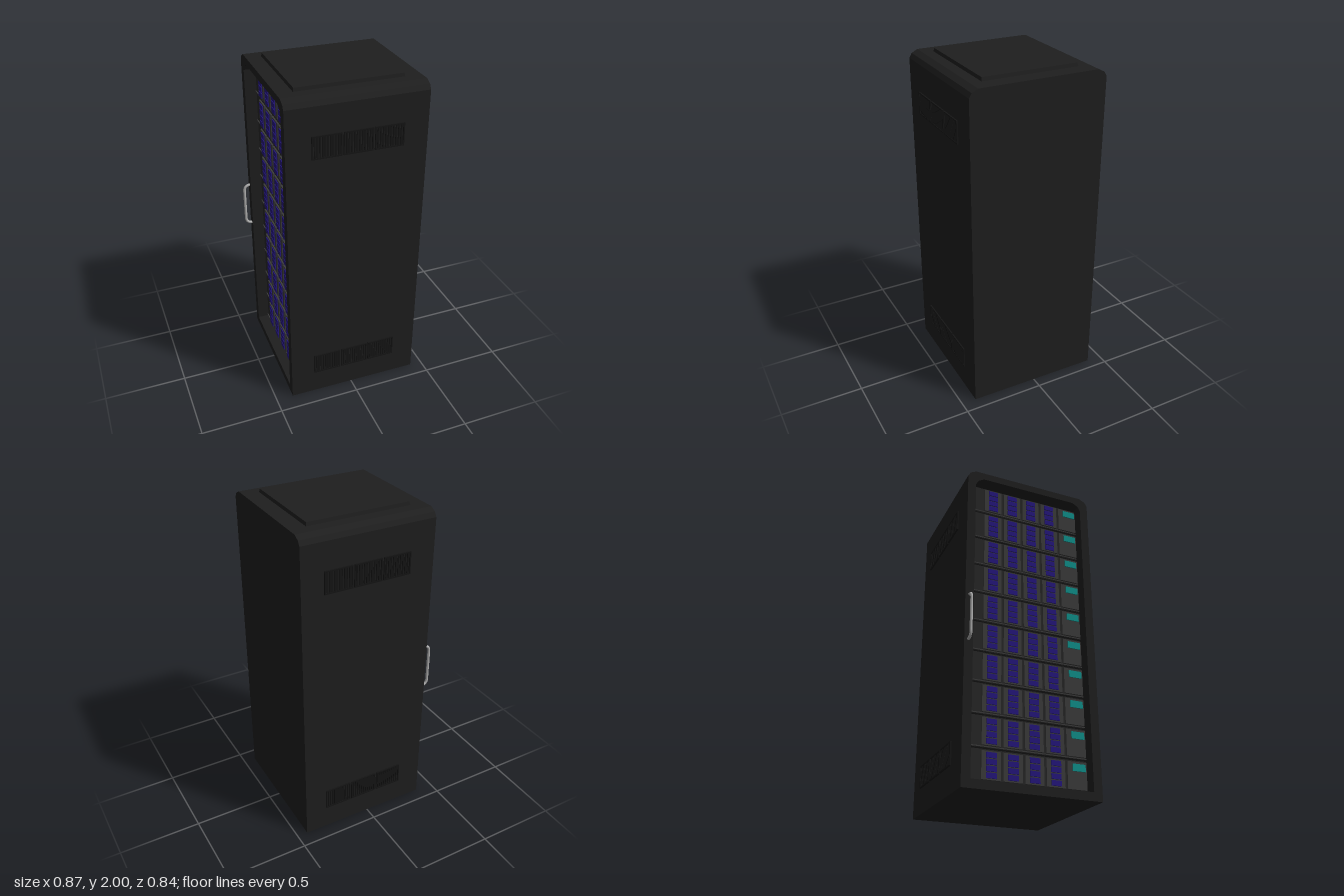
import * as THREE from 'three';
import { mergeGeometries } from 'three/addons/utils/BufferGeometryUtils.js';

const paint = (color) => new THREE.MeshStandardMaterial({ color });
const BLACK = paint(0x1e1e1e);
const VENT = paint(0x141414);
const GREY = paint(0x3a3a3a);
const DARK = paint(0x262626);
const PURPLE = paint(0x24167c);
const TEAL = paint(0x0f8f8a);
const STEEL = paint(0xb0b0b0);

const HALF = 0.41; // half of the cabinet's width and depth

function box(w, h, d, x, y, z) {
  return new THREE.BoxGeometry(w, h, d).translate(x, y, z);
}

function part(name, geometries, material) {
  const mesh = new THREE.Mesh(mergeGeometries(geometries), material);
  mesh.name = name;
  return mesh;
}

// Cabinet outline across its depth, with softened top corners
function outline(half, bottom, shoulder, top) {
  const mid = (shoulder + top) / 2 + 0.004;
  return [
    [-half, bottom], [half, bottom], [half, shoulder], [half - 0.016, mid], [half - 0.052, top],
    [-half + 0.052, top], [-half + 0.016, mid], [-half, shoulder],
  ].map(([a, b]) => new THREE.Vector2(a, b));
}

// Extrude an outline along x from x0 to x1
function alongX(shape, x0, x1) {
  return new THREE.ExtrudeGeometry(shape, { depth: x1 - x0, bevelEnabled: false })
    .rotateY(Math.PI / 2).translate(x0, 0, 0);
}

function makeCabinet() {
  const outer = outline(HALF, 0, 1.935, 1.98);
  const body = alongX(new THREE.Shape(outer), -0.31, HALF);
  const ring = new THREE.Shape(outer);
  ring.holes.push(new THREE.Path(outline(0.358, 0.05, 1.885, 1.935).reverse()));
  const group = new THREE.Group();
  group.name = 'cabinet';
  group.add(part('body', [body], BLACK));
  group.add(part('openingFrame', [alongX(ring, -HALF, -0.31)], BLACK));

  // Raised roof panel with a sloping rim
  const roof = new THREE.BoxGeometry(0.634, 0.024, 0.584);
  const p = roof.attributes.position;
  for (let i = 0; i < p.count; i++) {
    if (p.getY(i) > 0) p.setXYZ(i, p.getX(i) * 0.985, p.getY(i), p.getZ(i) * 0.985);
  }
  roof.translate(-0.004, 1.988, 0.002);
  roof.computeVertexNormals();
  group.add(part('roofPanel', [roof], BLACK));
  return group;
}

// Three framed grilles side by side, with upright slats
function makeVent(y) {
  const pieces = [];
  const w = 0.17, h = 0.134, rim = 0.007;
  for (const cx of [-0.18, 0, 0.18]) {
    for (const s of [-1, 1]) {
      pieces.push(box(w, rim, 0.01, cx, y + s * (h - rim) / 2, 0.004));
      pieces.push(box(rim, h, 0.01, cx + s * (w - rim) / 2, y, 0.004));
    }
    for (let i = 0; i < 10; i++) {
      pieces.push(box(0.008, h - rim, 0.008, cx - 0.0675 + i * 0.015, y, 0.003));
    }
  }
  return part('vent', pieces, VENT);
}

// Stack of server units set back inside the opening
function makeServers() {
  const units = [], bays = [], lights = [], labels = [], rails = [];
  const pitch = 0.187, face = -0.34;
  for (let u = 0; u < 10; u++) {
    const y = 0.055 + (u + 0.5) * pitch;
    units.push(box(0.03, pitch - 0.01, 0.71, face + 0.015, y, 0));
    rails.push(box(0.012, 0.006, 0.71, face, y - pitch / 2 + 0.008, 0));
    for (let c = 0; c < 4; c++) {
      const z = -0.22 + c * 0.127;
      bays.push(box(0.012, pitch - 0.03, 0.112, face - 0.004, y, z));
      for (let r = 0; r < 4; r++) {
        lights.push(box(0.008, 0.03, 0.06, face - 0.012, y + (r - 1.5) * 0.037, z));
      }
    }
    bays.push(box(0.012, pitch - 0.03, 0.12, face - 0.004, y, 0.292));
    labels.push(box(0.008, 0.042, 0.08, face - 0.012, y + 0.045, 0.303));
  }
  const group = new THREE.Group();
  group.name = 'servers';
  group.add(part('serverUnits', units, DARK), part('serverRails', rails, GREY));
  group.add(part('driveBays', bays, GREY), part('driveLights', lights, PURPLE));
  group.add(part('displays', labels, TEAL));
  return group;
}

// Bent bar handle on the frame
function makeHandle() {
  const x0 = -HALF + 0.005, x1 = -HALF - 0.037, z = -0.385;
  const v = (x, y) => new THREE.Vector3(x, y, z);
  const path = new THREE.CurvePath();
  path.add(new THREE.LineCurve3(v(x0, 0.828), v(x1 + 0.028, 0.832)));
  path.add(new THREE.QuadraticBezierCurve3(v(x1 + 0.028, 0.832), v(x1, 0.838), v(x1, 0.87)));
  path.add(new THREE.LineCurve3(v(x1, 0.87), v(x1, 1.07)));
  path.add(new THREE.QuadraticBezierCurve3(v(x1, 1.07), v(x1, 1.102), v(x1 + 0.028, 1.108)));
  path.add(new THREE.LineCurve3(v(x1 + 0.028, 1.108), v(x0, 1.112)));
  return part('handle', [new THREE.TubeGeometry(path, 60, 0.0085, 10)], STEEL);
}

export function createModel() {
  const rack = new THREE.Group();
  rack.name = 'serverRack';
  rack.add(makeCabinet(), makeServers(), makeHandle());
  for (const y of [0.22, 1.705]) {
    const front = makeVent(y);
    front.name = 'frontVent';
    front.position.set(0, 0, HALF);
    const back = makeVent(y);
    back.name = 'backVent';
    back.position.set(0.01, 0, -HALF);
    back.rotation.y = Math.PI;
    rack.add(front, back);
  }
  // The rack stands very slightly turned
  rack.rotation.y = -0.012;
  rack.position.set(0.02, 0, -0.004);
  const model = new THREE.Group();
  model.add(rack);
  return model;
}
